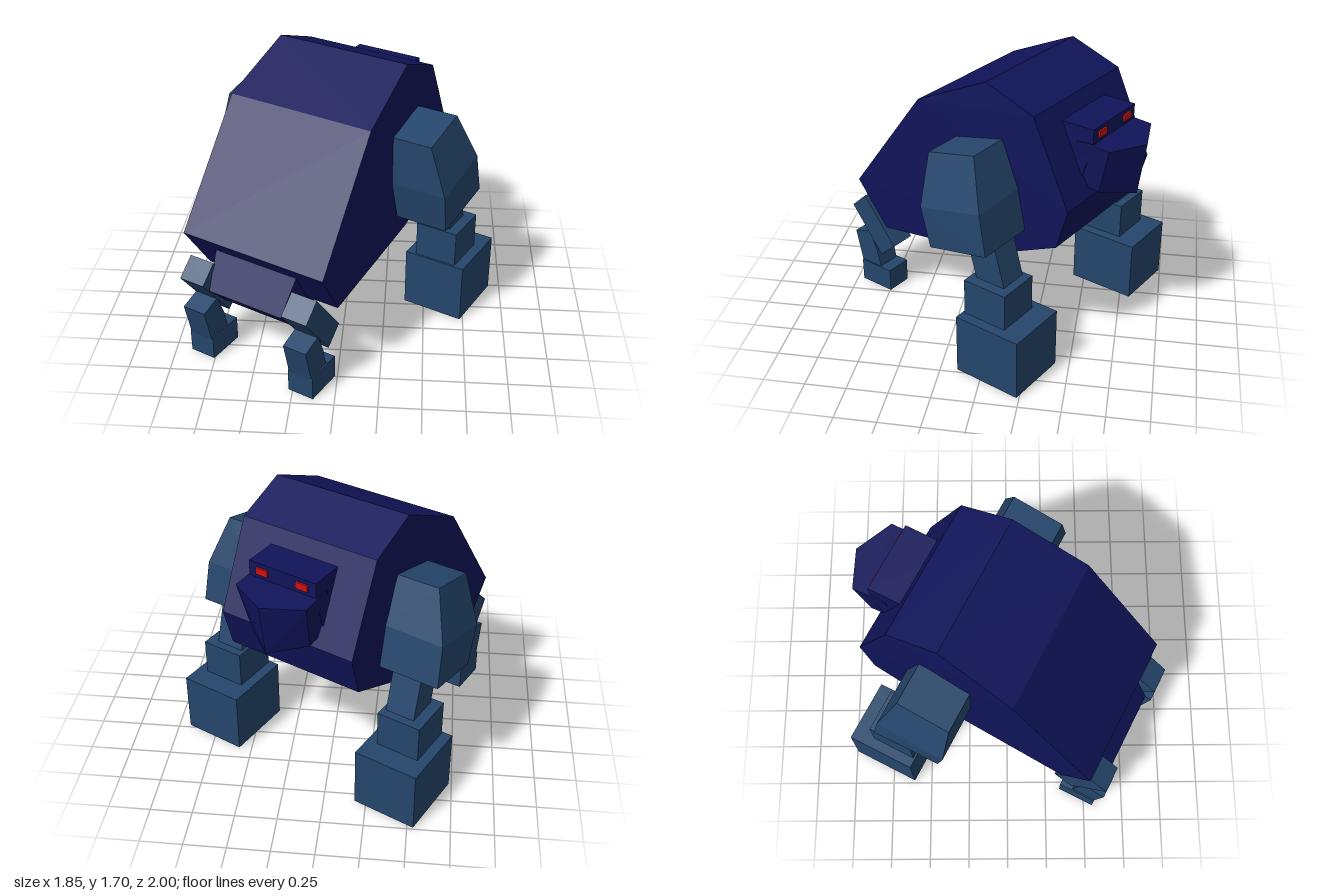
import * as THREE from 'three';
import { ConvexGeometry } from 'three/addons/geometries/ConvexGeometry.js';

const paint = (color) => new THREE.MeshStandardMaterial({ color, flatShading: true });

// Points are written as [side, height, forward]; forward is local -z.
const at = ([s, h, f]) => new THREE.Vector3(s, h, -f);

function hull(name, material, points) {
  const mesh = new THREE.Mesh(new ConvexGeometry(points.map(at)), material);
  mesh.name = name;
  return mesh;
}

// Side profile of [forward, height] spread between two side positions;
// an optional third entry sets a point's own half width.
function prism(name, material, profile, center, half) {
  const points = [];
  for (const [f, h, w = half] of profile) {
    points.push([center - w, h, f], [center + w, h, f]);
  }
  return hull(name, material, points);
}

function box(name, material, w, h, d, [s, y, f]) {
  const mesh = new THREE.Mesh(new THREE.BoxGeometry(w, h, d), material);
  mesh.name = name;
  mesh.position.set(s, y, -f);
  return mesh;
}

export function createModel() {
  const navy = paint(0x10145a);
  const steel = paint(0x25466c);
  const red = paint(0xd01010);

  const model = new THREE.Group();
  model.name = 'hunchedRobot';
  const robot = new THREE.Group();
  robot.name = 'robot';
  robot.rotation.y = THREE.MathUtils.degToRad(-27.4);
  robot.position.set(-0.096, 0, -0.05);
  model.add(robot);

  // Humped torso
  robot.add(prism('torso', navy, [
    [-0.85, 0.80, 0.478], [-0.335, 1.485, 0.47], [0.13, 1.70], [0.453, 1.58],
    [0.69, 1.07], [0.62, 0.82], [0.17, 0.61], [-0.66, 0.50, 0.455],
  ], 0, 0.435));

  // Pelvis tucked under the rear
  robot.add(prism('pelvis', navy, [
    [-0.79, 0.73, 0.28], [-0.92, 0.51], [-0.79, 0.37], [-0.50, 0.45], [-0.5, 0.70],
  ], -0.01, 0.25));

  // Head: brow block, pointed muzzle and eyes
  const head = new THREE.Group();
  head.name = 'head';
  head.add(prism('brow', navy, [
    [0.35, 1.49], [0.70, 1.49], [0.70, 1.38], [0.62, 1.14], [0.45, 1.2],
  ], 0, 0.218));
  const muzzle = [];
  for (const side of [-1, 1]) {
    muzzle.push(
      [side * 0.225, 1.40, 0.60], [side * 0.225, 1.40, 0.69], [side * 0.228, 1.39, 0.808],
      [side * 0.20, 1.14, 0.55], [side * 0.20, 1.11, 0.74],
    );
  }
  muzzle.push([0, 1.38, 0.915], [0, 1.06, 0.87]);
  head.add(hull('muzzle', navy, muzzle));
  for (const side of [-1, 1]) {
    head.add(box('eye', red, 0.075, 0.04, 0.016, [side * 0.13, 1.445, 0.703]));
  }
  robot.add(head);

  for (const side of [-1, 1]) {
    // Heavy front limb
    const front = new THREE.Group();
    front.name = 'frontLimb';
    front.add(hull('upperArm', steel, [
      [0.45, 1.325, -0.063], [0.704, 1.325, -0.063], [0.45, 1.395, 0.255], [0.704, 1.395, 0.255],
      [0.455, 1.02, -0.055], [0.80, 1.02, -0.055], [0.435, 1.12, 0.362], [0.80, 1.11, 0.362],
      [0.465, 0.77, 0.0], [0.79, 0.77, 0.0], [0.425, 0.865, 0.41], [0.81, 0.865, 0.41],
    ].map(([s, h, f]) => [side * s, h, f])));
    front.add(prism('forearm', steel, [
      [0.17, 0.92], [0.36, 0.95], [0.455, 0.60], [0.26, 0.60],
    ], side * 0.605, 0.09));
    front.add(box('wrist', steel, 0.269, 0.24, 0.285, [side * 0.626, 0.495, 0.36]));
    front.add(box('fist', steel, 0.396, 0.38, 0.431, [side * 0.626, 0.2, 0.42]));
    robot.add(front);

    // Short bent hind leg
    const hind = new THREE.Group();
    hind.name = 'hindLeg';
    hind.add(prism('thigh', steel, [
      [-0.96, 0.56], [-0.85, 0.66], [-0.62, 0.36], [-0.735, 0.26],
    ], side * 0.355, 0.083));
    hind.add(prism('shin', steel, [
      [-0.96, 0.36], [-0.83, 0.40], [-0.78, 0.27], [-0.75, 0.14], [-0.91, 0.14],
    ], side * 0.355, 0.076));
    hind.add(box('hindFoot', steel, 0.168, 0.15, 0.24, [side * 0.355, 0.08, -0.79]));
    robot.add(hind);
  }

  // Rest everything on the ground
  model.updateMatrixWorld(true);
  const bounds = new THREE.Box3().setFromObject(model, true);
  robot.position.y -= bounds.min.y;
  return model;
}
